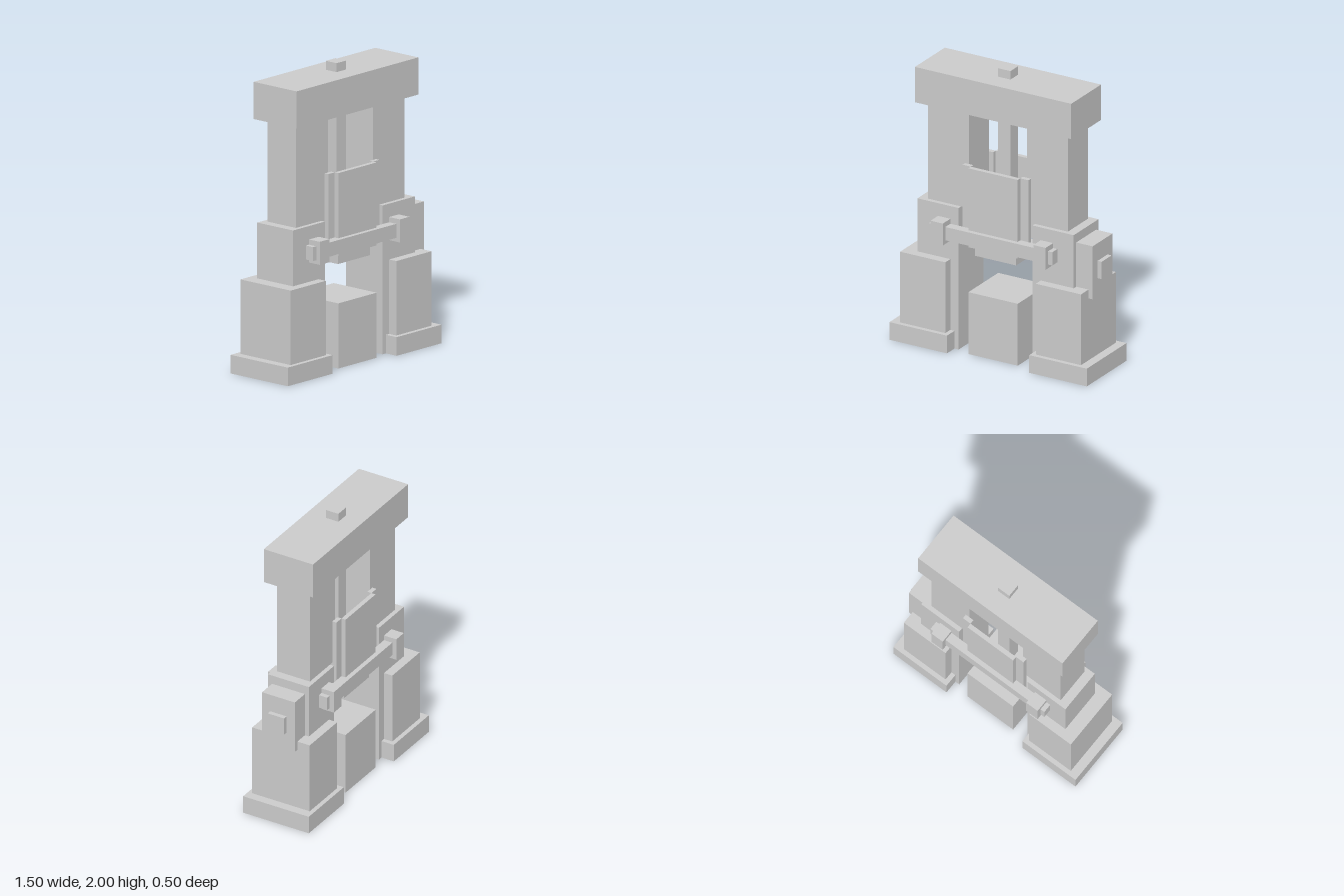
import * as THREE from 'three';

export function createModel() {
  const model = new THREE.Group();
  model.name = 'press';
  const material = new THREE.MeshStandardMaterial({ color: 0xcccccc, flatShading: true });

  // Box given by its lower and upper limits on each axis
  function box(name, [x0, x1], [y0, y1], [z0, z1], parent = model) {
    const mesh = new THREE.Mesh(new THREE.BoxGeometry(x1 - x0, y1 - y0, z1 - z0), material);
    mesh.position.set((x0 + x1) / 2, (y0 + y1) / 2, (z0 + z1) / 2);
    mesh.name = name;
    parent.add(mesh);
    return mesh;
  }
  // Range from a to b, mirrored when the sign is negative
  const side = (s, a, b) => (s > 0 ? [a, b] : [-b, -a]);
  const about = (h) => [-h, h];

  // Crown, spindle, ram tool and anvil
  box('crownBeam', about(0.594), [1.69, 1.94], about(0.1875));
  box('spindle', about(0.047), [0.75, 2], about(0.047));
  box('ramTool', about(0.156), [0.69, 0.75], about(0.156));
  box('anvil', about(0.1875), [0, 0.4375], about(0.1875));

  // Left and right legs
  for (const s of [1, -1]) {
    const leg = new THREE.Group();
    leg.name = s > 0 ? 'leftLeg' : 'rightLeg';
    model.add(leg);
    box('upperColumn', side(s, 0.219, 0.531), [1, 1.69], about(0.125), leg);
    box('lowerColumn', side(s, 0.281, 0.594), [0, 1], about(0.156), leg);
    box('legCasing', side(s, 0.344, 0.6875), [0.125, 0.625], about(0.219), leg);
    box('foot', side(s, 0.3125, 0.75), [0, 0.125], about(0.25), leg);
  }

  // Ram plates with guide strips, crossbars and clamps, front and back
  for (const f of [1, -1]) {
    const face = new THREE.Group();
    face.name = f > 0 ? 'frontRamFace' : 'backRamFace';
    model.add(face);
    box('ramPlate', about(0.1875), [0.755, 1.3125], side(f, 0.156, 0.1875), face);
    box('crossbar', about(0.469), [0.781, 0.875], side(f, 0.156, 0.219), face);
    for (const s of [1, -1]) {
      box('guideStrip', side(s, 0.1875, 0.25), [0.755, 1.3125], side(f, 0.125, 0.156), face);
      box('clamp', side(s, 0.344, 0.4375), [0.755, 0.91], side(f, 0.156, 0.25), face);
    }
  }

  // Control box on the left leg only
  box('controlBox', [0.594, 0.719], [0.5625, 0.9375], about(0.125));
  box('controlButton', [0.719, 0.75], [0.69, 0.8125], about(0.0625));

  return model;
}
